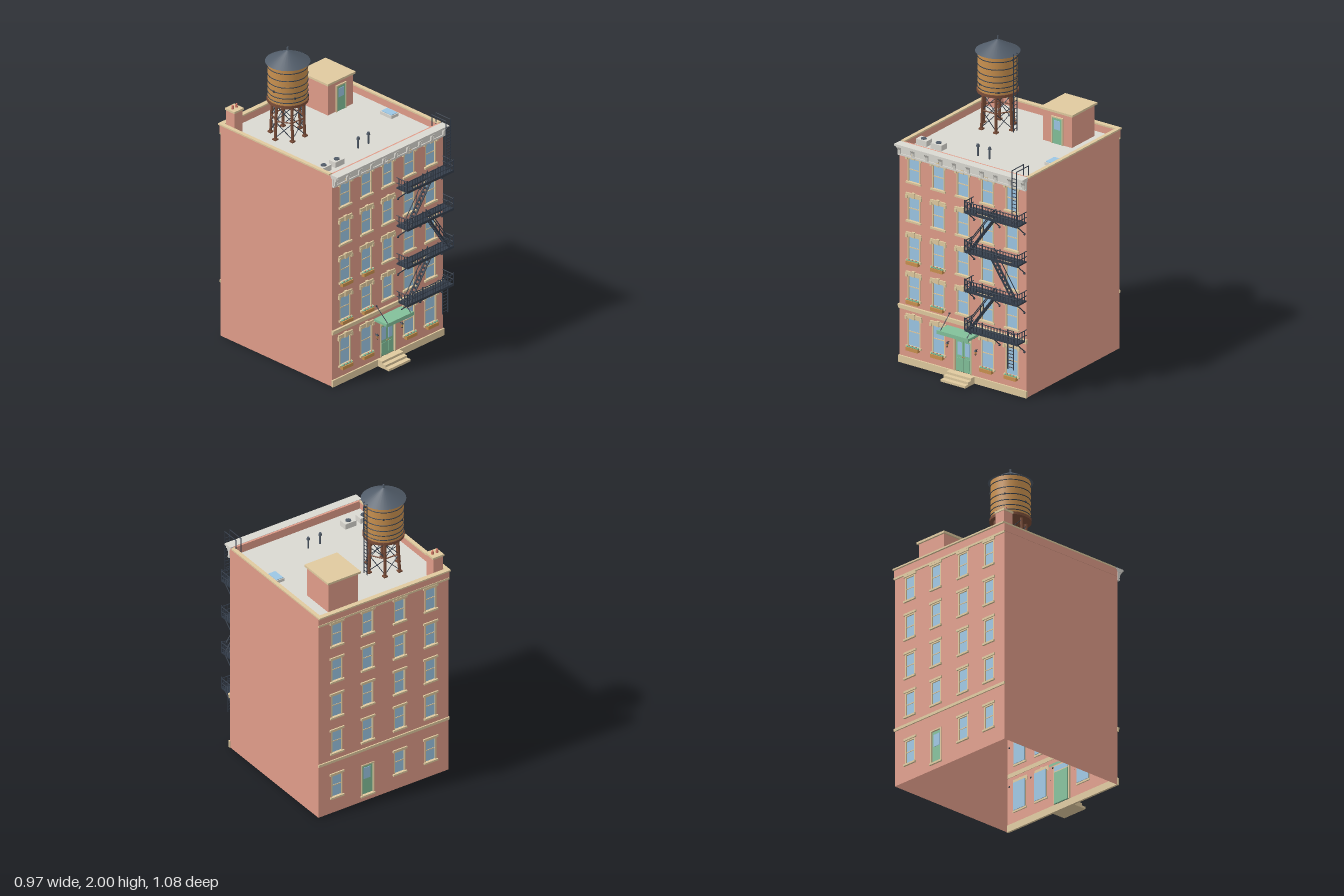
import * as THREE from 'three';

const mat = (name, color, side = THREE.FrontSide) => {
  const m = new THREE.MeshStandardMaterial({ color, side });
  m.name = name;
  return m;
};
const M = {
  brick: mat('brick', 0xe09c89, THREE.DoubleSide), stone: mat('sandstone', 0xe0ca9f),
  grey: mat('pale grey', 0xdad8d1), glass: mat('glass', 0x9cc6e4),
  green: mat('green paint', 0x82c09a), iron: mat('black iron', 0x343d4a),
  slate: mat('slate metal', 0x515c69), wood: mat('cedar', 0xca914f),
  timber: mat('dark timber', 0x7c4e39), red: mat('terracotta red', 0xd47a68),
};

function add(parent, name, geo, material, x = 0, y = 0, z = 0) {
  const m = new THREE.Mesh(geo, material);
  m.name = name;
  m.position.set(x, y, z);
  parent.add(m);
  return m;
}
// box given by its extents on each axis
function box(parent, name, material, x0, x1, y0, y1, z0, z1) {
  return add(parent, name, new THREE.BoxGeometry(x1 - x0, y1 - y0, z1 - z0), material,
    (x0 + x1) / 2, (y0 + y1) / 2, (z0 + z1) / 2);
}
const cyl = (parent, name, material, r0, r1, y0, y1, x, z, n = 16) =>
  add(parent, name, new THREE.CylinderGeometry(r1, r0, y1 - y0, n), material, x, (y0 + y1) / 2, z);
// round bar between two points
function rod(parent, name, material, a, b, r = 0.003) {
  const A = new THREE.Vector3(...a), B = new THREE.Vector3(...b), d = B.clone().sub(A);
  const m = add(parent, name, new THREE.CylinderGeometry(r, r, d.length(), 6), material);
  m.position.copy(A).add(B).multiplyScalar(0.5);
  m.quaternion.setFromUnitVectors(new THREE.Vector3(0, 1, 0), d.normalize());
  return m;
}
function group(parent, name) {
  const g = new THREE.Group();
  g.name = name;
  parent.add(g);
  return g;
}
const vecs = pts => pts.map(p => new THREE.Vector2(...p));
// thin wall with rectangular openings, on z = 0 of its group
function wall(parent, name, holes) {
  const s = new THREE.Shape(vecs([[-0.48, 0], [0.48, 0], [0.48, 1.4], [-0.48, 1.4]]));
  for (const [x, y, w, h] of holes) {
    s.holes.push(new THREE.Path(vecs([[x - w / 2, y], [x - w / 2, y + h], [x + w / 2, y + h], [x + w / 2, y]])));
  }
  add(parent, name, new THREE.ShapeGeometry(s), M.brick);
}
function frame(g, name, x, y, w, h, t, z0, z1) {
  for (const s of [-1, 1]) {
    const e = x + s * (w / 2 - t / 2);
    box(g, name + 'Jamb', M.stone, e - t / 2, e + t / 2, y, y + h, z0, z1);
  }
  box(g, name + 'Head', M.stone, x - w / 2 + t, x + w / 2 - t, y + h - t, y + h, z0, z1);
}
function sashWindow(parent, x, y, w, h, fancy) {
  const g = group(parent, 'window');
  box(g, 'pane', M.glass, x - w / 2, x + w / 2, y, y + h, -0.012, -0.006);
  frame(g, 'sash', x, y, w, h, 0.008, -0.01, 0.002);
  box(g, 'meetingRail', M.stone, x - w / 2, x + w / 2, y + h * 0.5 - 0.003, y + h * 0.5 + 0.003, -0.01, -0.003);
  box(g, 'sill', M.stone, x - w / 2 - 0.008, x + w / 2 + 0.008, y - 0.012, y, -0.008, 0.012);
  box(g, 'lintel', M.stone, x - w / 2 - 0.01, x + w / 2 + 0.01, y + h, y + h + (fancy ? 0.024 : 0.014), -0.002, 0.009);
  if (!fancy) return;
  for (const s of [-1, 1]) {
    const e = x + s * (w / 2 + 0.005);
    box(g, 'lintelEar', M.stone, e - 0.008, e + 0.008, y + h - 0.012, y + h + 0.01, -0.002, 0.012);
  }
  box(g, 'keystone', M.stone, x - 0.011, x + 0.011, y + h - 0.004, y + h + 0.031, 0, 0.015);
}
function flowerBox(parent, x, y) {
  const g = group(parent, 'flowerBox');
  box(g, 'planter', M.wood, x - 0.045, x + 0.045, y - 0.026, y - 0.004, 0.003, 0.028);
  for (let i = 0; i < 7; i++) {
    const px = x - 0.039 + i * 0.013;
    add(g, 'foliage', new THREE.IcosahedronGeometry(0.008, 0), M.green, px, y, 0.016);
    if (i % 2) add(g, 'blossom', new THREE.IcosahedronGeometry(0.005, 0), M.red, px, y + 0.007, 0.019);
  }
}

function buildFront(root) {
  const g = group(root, 'frontFacade');
  g.position.z = 0.43;
  const cols = [-0.37, -0.185, 0, 0.185, 0.37], wins = [];
  cols.forEach(x => { if (x) wins.push([x, 0.125, 0.1, 0.185]); });
  for (const y of [0.435, 0.695, 0.955, 1.212]) cols.forEach(x => wins.push([x, y, 0.095, 0.157]));
  wall(g, 'frontWall', [...wins, [0, 0.046, 0.13, 0.256]]);
  wins.forEach(([x, y, w, h]) => {
    sashWindow(g, x, y, w, h, true);
    if (y < 0.2 || (y < 0.8 && x < -0.1)) flowerBox(g, x, y);
  });
  for (const s of [-1, 1]) box(g, 'plinth', M.stone, s < 0 ? -0.484 : 0.065, s < 0 ? -0.065 : 0.484, 0, 0.046, -0.004, 0.01);
  box(g, 'beltCourse', M.stone, -0.484, 0.484, 0.358, 0.375, -0.003, 0.01);
  box(g, 'beltCap', M.stone, -0.484, 0.484, 0.375, 0.386, -0.003, 0.015);
  // entrance
  const d = group(g, 'entrance');
  frame(d, 'doorFrame', 0, 0.046, 0.136, 0.258, 0.009, -0.012, 0.006);
  box(d, 'transomPane', M.glass, -0.06, 0.06, 0.26, 0.296, -0.014, -0.008);
  box(d, 'transomBar', M.stone, -0.06, 0.06, 0.254, 0.262, -0.015, 0);
  for (const x of [-0.02, 0.02]) box(d, 'transomMullion', M.stone, x - 0.002, x + 0.002, 0.26, 0.296, -0.012, -0.005);
  for (const s of [-1, 1]) {
    const c = s * 0.029;
    box(d, 'doorLeaf', M.green, c - 0.0282, c + 0.0282, 0.046, 0.255, -0.016, -0.006);
    box(d, 'doorGlass', M.glass, c - 0.018, c + 0.018, 0.155, 0.24, -0.008, -0.004);
    box(d, 'doorPanel', M.green, c - 0.018, c + 0.018, 0.065, 0.135, -0.008, -0.003);
    add(d, 'doorKnob', new THREE.SphereGeometry(0.004, 8, 6), M.wood, s * 0.007, 0.145, -0.002);
    rod(d, 'awningRod', M.iron, [s * 0.1, 0.33, 0.1], [s * 0.1, 0.415, 0.002], 0.0025);
    add(d, 'rodAnchor', new THREE.SphereGeometry(0.006, 8, 6), M.iron, s * 0.1, 0.415, 0.004);
    // lantern
    rod(d, 'lampArm', M.iron, [s * 0.107, 0.225, 0], [s * 0.107, 0.225, 0.018]);
    cyl(d, 'lampGlass', M.wood, 0.005, 0.008, 0.2, 0.22, s * 0.107, 0.018, 8);
    cyl(d, 'lampCap', M.iron, 0.011, 0.002, 0.22, 0.232, s * 0.107, 0.018, 8);
    cyl(d, 'lampBase', M.iron, 0.003, 0.006, 0.193, 0.2, s * 0.107, 0.018, 8);
  }
  box(d, 'awning', M.green, -0.117, 0.117, 0.316, 0.332, 0, 0.11);
  box(d, 'awningValance', M.green, -0.119, 0.119, 0.311, 0.335, 0.104, 0.11);
  for (let i = 0; i < 3; i++) box(d, 'step', M.stone, -0.093, 0.093, i * 0.0153, (i + 1) * 0.0153, -0.004, 0.105 - i * 0.03);
  // cornice
  const c = group(g, 'cornice'), n = 10, pitch = 0.94 / (n - 1);
  box(c, 'frieze', M.grey, -0.484, 0.484, 1.382, 1.44, 0, 0.012);
  box(c, 'friezeMolding', M.grey, -0.484, 0.484, 1.374, 1.386, 0, 0.018);
  box(c, 'corniceBed', M.grey, -0.484, 0.484, 1.432, 1.443, -0.005, 0.036);
  box(c, 'corniceTop', M.grey, -0.484, 0.484, 1.443, 1.456, -0.01, 0.05);
  const prof = new THREE.Shape(vecs([[0, 1.38], [0.02, 1.384], [0.024, 1.412], [0.038, 1.432], [0, 1.432]]));
  for (let i = 0; i < n; i++) {
    const x = -0.47 + i * pitch;
    const b = add(c, 'bracket', new THREE.ExtrudeGeometry(prof, { depth: 0.018, bevelEnabled: false }), M.grey, x + 0.009);
    b.rotation.y = -Math.PI / 2;
    if (i < n - 1) box(c, 'friezePanel', M.grey, x + 0.02, x + pitch - 0.02, 1.393, 1.425, 0.01, 0.016);
  }
}

function buildBack(root) {
  const g = group(root, 'backFacade');
  g.position.z = -0.525;
  g.rotation.y = Math.PI;
  const wins = [], door = [-0.118, 0.045, 0.088, 0.215];
  for (const y of [0.115, 0.435, 0.695, 0.955, 1.212]) {
    for (const x of [-0.345, -0.118, 0.118, 0.345]) if (y > 0.2 || x !== -0.118) wins.push([x, y, 0.085, 0.157]);
  }
  wall(g, 'backWall', [...wins, door]);
  wins.forEach(w => sashWindow(g, ...w, false));
  const [x, y, w, h] = door;
  box(g, 'backDoor', M.green, x - w / 2, x + w / 2, y, y + h, -0.015, -0.007);
  box(g, 'backDoorGlass', M.glass, x - 0.026, x + 0.026, y + 0.11, y + 0.19, -0.009, -0.004);
  frame(g, 'backDoorFrame', x, y, w + 0.008, h + 0.004, 0.008, -0.012, 0.005);
  box(g, 'backDoorSill', M.stone, x - 0.052, x + 0.052, y - 0.012, y, -0.01, 0.012);
  box(g, 'backBelt', M.stone, -0.482, 0.482, 0.366, 0.384, -0.003, 0.008);
  box(g, 'backTopBand', M.stone, -0.482, 0.482, 1.384, 1.397, -0.003, 0.008);
}

function buildFireEscape(root) {
  const g = group(root, 'fireEscape'), I = M.iron, x0 = 0.078, x1 = 0.478, zi = 0.43, zo = 0.521;
  [0.38, 0.64, 0.9, 1.16].forEach((y, k) => {
    const p = group(g, 'balcony'), flip = k === 2;
    const [h0, h1] = flip ? [0.28, 0.42] : [0.145, 0.285];
    // deck with a stair opening
    box(p, 'deck', I, x0, x1, y - 0.006, y + 0.004, zi, k ? 0.482 : zo);
    if (k) {
      box(p, 'deckLeft', I, x0, h0, y - 0.006, y + 0.004, 0.482, zo);
      box(p, 'deckRight', I, h1, x1, y - 0.006, y + 0.004, 0.482, zo);
    }
    box(p, 'deckEdge', I, x0, x1, y - 0.008, y + 0.008, zo - 0.004, zo + 0.003);
    for (const dy of [0.035, 0.07]) {
      rod(p, 'frontRail', I, [x0, y + dy, zo], [x1, y + dy, zo]);
      for (const x of [x0, x1]) rod(p, 'endRail', I, [x, y + dy, zi], [x, y + dy, zo]);
    }
    for (let i = 0; i <= 18; i++) {
      const x = x0 + (x1 - x0) * i / 18, post = i % 6 === 0;
      rod(p, 'baluster', I, [x, y, zo], [x, y + (post ? 0.08 : 0.07), zo], post ? 0.004 : 0.0025);
    }
    for (const x of [x0, x1]) for (const z of [0.45, 0.474, 0.498]) rod(p, 'endBaluster', I, [x, y, z], [x, y + 0.07, z], 0.0025);
    for (const x of [x0 + 0.008, 0.278, x1 - 0.012]) {
      rod(p, 'strut', I, [x, y - 0.004, zo - 0.01], [x, y - 0.075, zi + 0.003], 0.0035);
      add(p, 'strutAnchor', new THREE.SphereGeometry(0.008, 8, 6), I, x, y - 0.078, zi + 0.004);
    }
    if (k === 3) return;
    // stair up to the next balcony
    const s = group(g, 'stair'), odd = k === 1, a = odd ? 0.45 : 0.1, b = odd ? 0.275 : 0.29;
    for (const z of [0.486, 0.516]) {
      rod(s, 'stringer', I, [a, y, z], [b, y + 0.26, z], 0.006);
      rod(s, 'handrail', I, [a, y + 0.06, z], [b, y + 0.32, z], 0.003);
      for (const t of [0, 0.5, 1]) {
        const x = a + (b - a) * t, sy = y + 0.26 * t;
        rod(s, 'stairPost', I, [x, sy, z], [x, sy + 0.06, z], 0.0025);
      }
    }
    for (let i = 1; i < 12; i++) {
      const x = a + (b - a) * i / 12, ty = y + 0.26 * i / 12;
      box(s, 'tread', I, x - 0.008, x + 0.008, ty - 0.002, ty + 0.002, 0.486, 0.516);
    }
  });
  // drop ladder and roof ladder
  const d = group(g, 'dropLadder'), r = group(g, 'roofLadder');
  for (const x of [0.396, 0.44]) rod(d, 'ladderRail', I, [x, 0.2, 0.51], [x, 0.46, 0.51], 0.0035);
  for (let y = 0.215; y < 0.46; y += 0.022) rod(d, 'rung', I, [0.396, y, 0.51], [0.44, y, 0.51], 0.0025);
  for (const x of [0.426, 0.463]) {
    const pts = [[x, 1.16, 0.51], [x, 1.517, 0.51], [x, 1.517, 0.388], [x, 1.4, 0.388]];
    for (let i = 0; i < 3; i++) rod(r, 'ladderRail', I, pts[i], pts[i + 1], 0.003);
  }
  for (let y = 1.18; y < 1.48; y += 0.024) rod(r, 'rung', I, [0.426, y, 0.51], [0.463, y, 0.51], 0.0025);
}

function buildWaterTank(root) {
  const g = group(root, 'waterTank');
  g.position.set(-0.212, 0, -0.215);
  const foot = (i, y) => { // leg centreline, tapering upward
    const a = i * Math.PI / 3, r = 0.108 - (y - 1.4) * 0.05;
    return [Math.cos(a) * r, y, Math.sin(a) * r];
  };
  for (let i = 0; i < 6; i++) {
    const f = foot(i, 1.4);
    rod(g, 'leg', M.timber, f, foot(i, 1.645), 0.0095);
    box(g, 'footing', M.timber, f[0] - 0.013, f[0] + 0.013, 1.4, 1.41, f[2] - 0.013, f[2] + 0.013);
    rod(g, 'girt', M.timber, foot(i, 1.525), foot(i + 1, 1.525), 0.004);
    for (const [p, q] of [[1.415, 1.52], [1.53, 1.63]]) {
      rod(g, 'brace', M.iron, foot(i, p), foot(i + 1, q), 0.0025);
      rod(g, 'brace', M.iron, foot(i, q), foot(i + 1, p), 0.0025);
    }
  }
  cyl(g, 'tankFloor', M.timber, 0.129, 0.129, 1.64, 1.658, 0, 0, 32);
  cyl(g, 'tankBarrel', M.wood, 0.123, 0.123, 1.658, 1.906, 0, 0, 32);
  [1.675, 1.705, 1.74, 1.78, 1.825, 1.875].forEach((y, k) => {
    const h = add(g, 'hoop', new THREE.TorusGeometry(0.1235, 0.003, 6, 40), M.iron, 0, y, 0);
    h.rotation.x = Math.PI / 2;
    const a = 0.9 + k * 1.1;
    add(g, 'hoopLug', new THREE.BoxGeometry(0.008, 0.012, 0.008), M.iron, Math.cos(a) * 0.125, y, Math.sin(a) * 0.125);
  });
  cyl(g, 'tankRoof', M.slate, 0.139, 0.006, 1.905, 1.978, 0, 0, 32);
  cyl(g, 'finial', M.slate, 0.006, 0.006, 1.97, 2.0, 0, 0, 8);
  for (const z of [-0.016, 0.016]) rod(g, 'tankLadderRail', M.iron, [0.132, 1.4, z], [0.132, 1.915, z], 0.003);
  for (let y = 1.42; y < 1.91; y += 0.026) rod(g, 'tankRung', M.iron, [0.132, y, -0.016], [0.132, y, 0.016], 0.0022);
}

function buildRoof(root) {
  const g = group(root, 'roof');
  box(g, 'roofDeck', M.grey, -0.478, 0.478, 1.388, 1.4, -0.523, 0.428);
  for (const s of [-1, 1]) {
    const w = add(g, 'sideWall', new THREE.PlaneGeometry(0.955, 1.4), M.brick, s * 0.48, 0.7, -0.0475);
    w.rotation.y = s * Math.PI / 2;
    box(g, 'sideParapet', M.brick, s < 0 ? -0.483 : 0.462, s < 0 ? -0.462 : 0.483, 1.397, 1.448, -0.53, 0.43);
    box(g, 'sideCoping', M.stone, s < 0 ? -0.485 : 0.46, s < 0 ? -0.46 : 0.485, 1.446, 1.456, -0.51, 0.408);
  }
  box(g, 'frontParapet', M.brick, -0.462, 0.462, 1.397, 1.454, 0.407, 0.43);
  box(g, 'backParapet', M.brick, -0.462, 0.462, 1.397, 1.448, -0.53, -0.512);
  box(g, 'backCoping', M.stone, -0.485, 0.485, 1.446, 1.456, -0.542, -0.51);
  // stair bulkhead
  box(g, 'bulkhead', M.brick, 0.132, 0.35, 1.4, 1.61, -0.445, -0.212);
  box(g, 'bulkheadCap', M.stone, 0.12, 0.362, 1.608, 1.622, -0.457, -0.2);
  box(g, 'bulkheadDoor', M.green, 0.205, 0.28, 1.4, 1.572, -0.213, -0.207);
  box(g, 'bulkheadGlass', M.glass, 0.22, 0.265, 1.495, 1.555, -0.21, -0.205);
  frame(g, 'bulkheadFrame', 0.2425, 1.4, 0.09, 0.18, 0.008, -0.213, -0.203);
  // chimney
  box(g, 'chimney', M.brick, -0.453, -0.381, 1.4, 1.552, -0.505, -0.433);
  box(g, 'chimneyCap', M.stone, -0.458, -0.376, 1.55, 1.563, -0.51, -0.428);
  for (const x of [-0.433, -0.4]) cyl(g, 'chimneyPot', M.red, 0.009, 0.007, 1.56, 1.586, x, -0.468, 12);
  // skylight
  box(g, 'skylightCurb', M.grey, 0.37, 0.433, 1.4, 1.42, 0, 0.098);
  box(g, 'skylightGlass', M.glass, 0.376, 0.427, 1.418, 1.424, 0.006, 0.092);
  // cooling units and vents
  for (const x of [-0.405, -0.292]) {
    box(g, 'coolingUnit', M.grey, x - 0.04, x + 0.04, 1.405, 1.442, 0.255, 0.311);
    cyl(g, 'fan', M.slate, 0.019, 0.018, 1.44, 1.447, x, 0.283, 12);
  }
  for (const x of [-0.042, 0.046]) {
    cyl(g, 'ventPipe', M.slate, 0.006, 0.006, 1.4, 1.465, x, 0.22, 10);
    cyl(g, 'ventCap', M.slate, 0.012, 0.008, 1.462, 1.478, x, 0.22, 12);
  }
}

export function createModel() {
  const root = new THREE.Group();
  root.name = 'apartmentBuilding';
  [buildFront, buildBack, buildRoof, buildWaterTank, buildFireEscape].forEach(f => f(root));
  return root;
}
